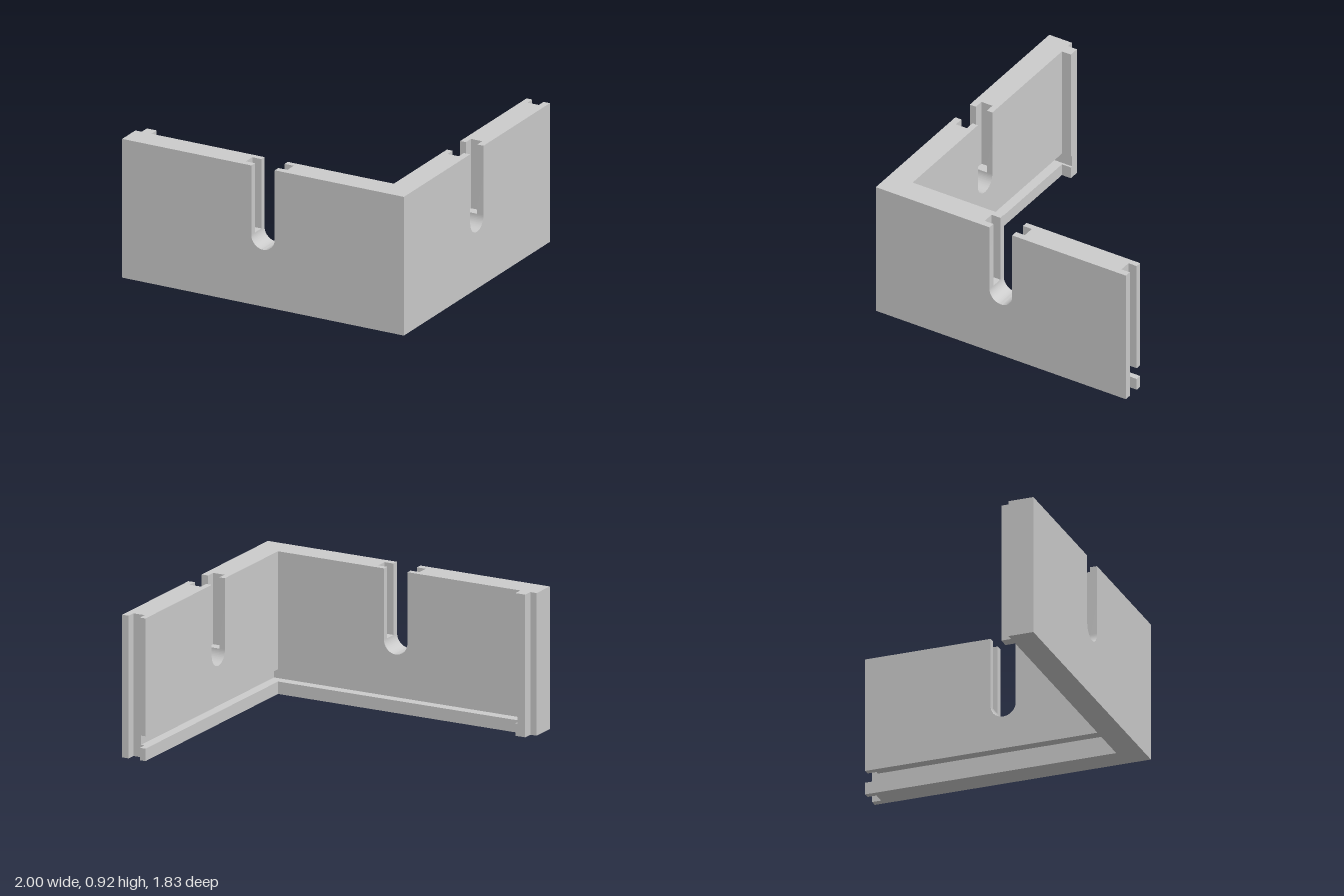
import * as THREE from 'three';
import { toCreasedNormals } from 'three/addons/utils/BufferGeometryUtils.js';

const H = 0.92;                       // wall height
const T = 0.165;                      // wall thickness
const R = 0.083;                      // half width of the rounded slot
const SLOT_Y = 0.46;                  // centre of the slot's round bottom
const CHANNEL = 0.147;                // half width across the channels in the slot sides
const FLOOR = [0.08, 0.16];           // bottom and top of the floor groove
const DEPTHS = [0, 0.04, 0.065, 0.12, T]; // layer boundaries, inner face to outer face

const material = new THREE.MeshStandardMaterial({ color: 0xcccccc });

const polygon = (points) => new THREE.Shape(points.map(([x, y]) => new THREE.Vector2(x, y)));
const rect = (x0, x1, y0, y1) => polygon([[x0, y0], [x1, y0], [x1, y1], [x0, y1]]);

// Wall outline with the open, round-bottomed slot; the core layers add the side channels
function slottedShape(u0, u1, y0, channelled) {
  const s = new THREE.Shape();
  const w = channelled ? CHANNEL : R;
  s.moveTo(u0, y0);
  s.lineTo(u1, y0);
  s.lineTo(u1, H);
  s.lineTo(w, H);
  s.lineTo(w, SLOT_Y);
  if (channelled) s.lineTo(R, SLOT_Y);
  s.absarc(0, SLOT_Y, R, 0, -Math.PI, true);
  if (channelled) s.lineTo(-w, SLOT_Y);
  s.lineTo(-w, H);
  s.lineTo(u0, H);
  s.closePath();
  return s;
}

function extrude(name, shapes, z, depth) {
  const geometry = new THREE.ExtrudeGeometry(shapes, { depth, bevelEnabled: false, curveSegments: 28 });
  const mesh = new THREE.Mesh(toCreasedNormals(geometry, 0.5), material);
  mesh.name = name;
  mesh.position.z = z;
  return mesh;
}

// A wall in layers; grooveEnds closes the floor groove at those positions,
// endGroove shortens the core to leave a vertical groove in the end
function buildWall(name, u0, u1, { grooveEnds = null, endGroove = 0 }) {
  const wall = new THREE.Group();
  wall.name = name;
  const layerNames = ['innerSkin', 'groovedCore', 'core', 'outerSkin'];
  layerNames.forEach((layer, i) => {
    const isCore = i === 1 || i === 2;
    const end = isCore ? u1 - endGroove : u1;
    const shapes = [];
    if (i < 2) {
      shapes.push(slottedShape(u0, end, FLOOR[1], isCore), rect(u0, end, 0, FLOOR[0]));
      if (grooveEnds) {
        shapes.push(rect(u0, grooveEnds[0], ...FLOOR), rect(grooveEnds[1], end, ...FLOOR));
      }
    } else {
      shapes.push(slottedShape(u0, end, 0, isCore));
    }
    wall.add(extrude(layer, shapes, DEPTHS[i], DEPTHS[i + 1] - DEPTHS[i]));
  });
  return wall;
}

export function createModel() {
  const model = new THREE.Group();
  model.name = 'cornerWall';

  // Front wall, floor groove stopped near both ends
  const front = buildWall('frontWall', -1, 1, { grooveEnds: [-0.9, 0.9] });
  front.position.z = 0.75;
  model.add(front);

  // Side wall, floor groove running through, joint groove in its back end
  const side = buildWall('sideWall', -0.75, 0.915, { endGroove: 0.06 });
  side.rotation.y = Math.PI / 2;
  side.position.x = 1 - T;
  model.add(side);

  // Joint tongue on the front wall, notched by the floor groove
  const tongue = polygon([
    [-0.955, 0], [-0.885, 0], [-0.885, FLOOR[0]], [-0.9, FLOOR[0]],
    [-0.9, FLOOR[1]], [-0.885, FLOOR[1]], [-0.885, H], [-0.955, H],
  ]);
  model.add(extrude('jointTongue', tongue, 0.685, 0.065));

  return model;
}
